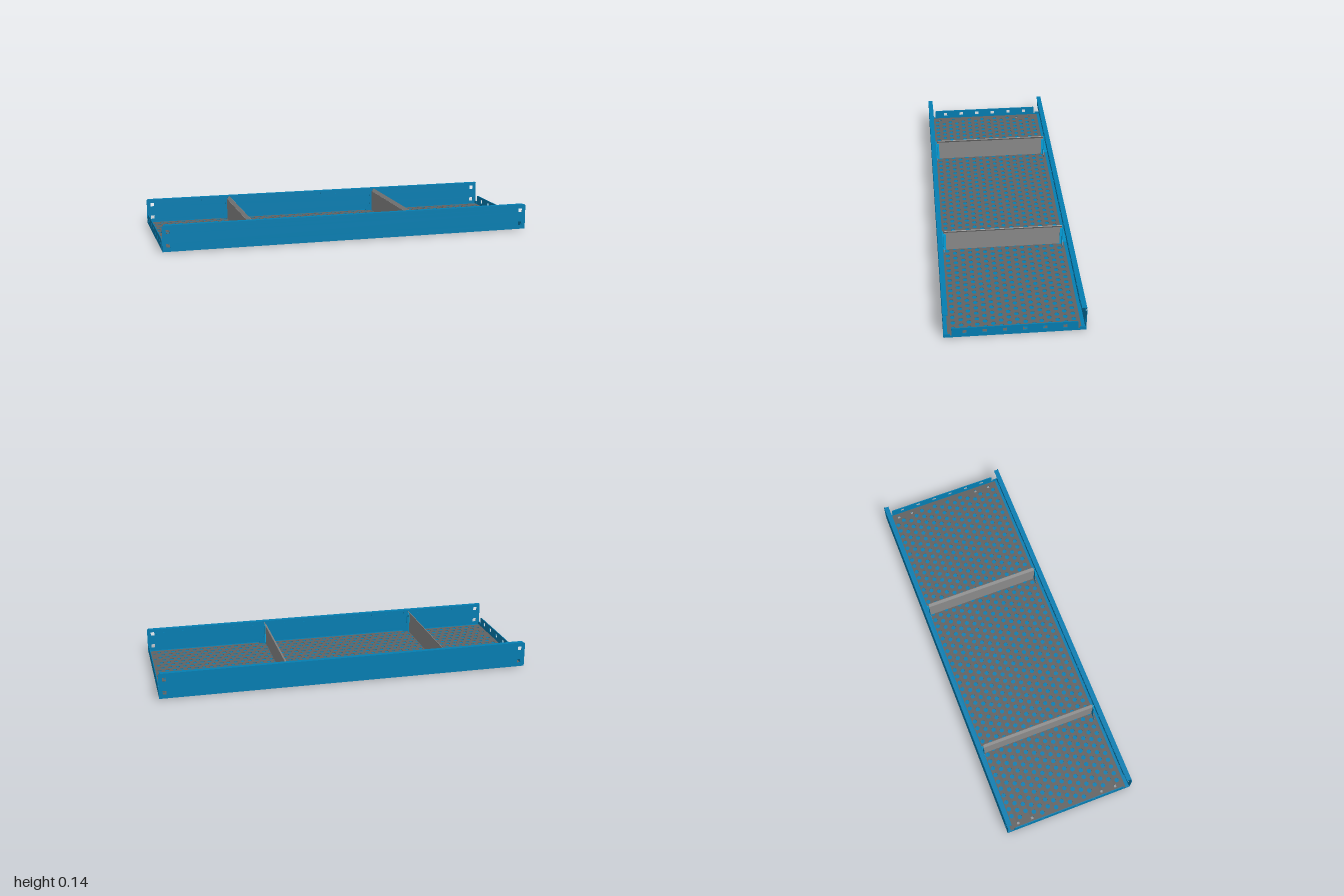
import * as THREE from 'three';

const paint = (color) => new THREE.MeshStandardMaterial({ color, side: THREE.DoubleSide });
const blue = paint(0x047eb2);
const brightBlue = paint(0x04a2dc);
const grey = paint(0x8a8a8a);
const darkGrey = paint(0x626262);
const BASE = 0.003; // underside of the floor

// Closed outline from [x, y] points
function outline(points, Type = THREE.Shape) {
  return new Type(points.map(([x, y]) => new THREE.Vector2(x, y)));
}

// Rectangular outline around a centre
function rect(cx, cy, w, h, Type = THREE.Path) {
  const a = w / 2, b = h / 2;
  return outline([[cx - a, cy - b], [cx + a, cy - b], [cx + a, cy + b], [cx - a, cy + b]], Type);
}

// Sheet cut from an outline, thickness along +z
function sheet(name, shape, holes, material, depth) {
  shape.holes.push(...holes);
  const geometry = new THREE.ExtrudeGeometry(shape, { depth, bevelEnabled: false, curveSegments: 8 });
  const mesh = new THREE.Mesh(geometry, material);
  mesh.name = name;
  return mesh;
}

function box(name, w, h, d, x, y, z, material) {
  const mesh = new THREE.Mesh(new THREE.BoxGeometry(w, h, d), material);
  mesh.position.set(x, y, z);
  mesh.name = name;
  return mesh;
}

// Centres of the mounting holes near the ends of floor and liner
const mounts = [];
for (const x of [-0.967, 0.967]) for (const y of [-0.28, -0.2, 0.2, 0.28]) mounts.push([x, y]);
const floorHoles = () => mounts.map(([x, y]) => rect(x, y, 0.014, 0.014));

// Long wall with folded top, slotted return lip and end holes
function longWall(name) {
  const group = new THREE.Group();
  group.name = name;
  const e = 0.997, c = 0.007;
  const shape = outline([[-e, BASE], [e, BASE], [e, 0.14 - c], [e - c, 0.14], [-e + c, 0.14], [-e, 0.14 - c]]);
  const holes = [];
  for (const x of [-0.967, 0.967]) for (const y of [0.035, 0.107]) holes.push(rect(x, y, 0.02, 0.02));
  const face = sheet('wallFace', shape, holes, blue, 0.002);
  face.position.z = 0.349;
  group.add(face);
  group.add(box('topFlange', 1.975, 0.002, 0.024, 0, 0.139, 0.338, blue));
  const slots = [];
  for (let i = 0; i < 19; i++) slots.push(rect(-0.9 + i * 0.1, 0.124, 0.022, 0.008));
  const lip = sheet('returnLip', rect(0, 0.125, 1.89, 0.028, THREE.Shape), slots, blue, 0.002);
  lip.position.z = 0.325;
  group.add(lip);
  return group;
}

// Low end plate with square holes, stepped corners and small pads beneath
function endPlate(name) {
  const half = [[0.349, BASE], [0.349, 0.024], [0.319, 0.024], [0.319, 0.012], [0.311, 0.012], [0.311, 0.055], [0.306, 0.06]];
  const shape = outline([...half, ...half.map(([z, y]) => [-z, y]).reverse()]);
  const holes = [];
  for (let i = 0; i < 6; i++) holes.push(rect((i - 2.5) * 0.0988, 0.035, 0.021, 0.021));
  const group = new THREE.Group();
  group.name = name;
  const plate = sheet('endFace', shape, holes, blue, 0.004);
  plate.rotation.y = Math.PI / 2;
  plate.position.x = 0.992;
  group.add(plate);
  for (let i = -3; i <= 3; i++) group.add(box('underPad', 0.012, 0.003, 0.005, 0.982, 0.0015, i * 0.094, blue));
  return group;
}

// Grey liner with staggered round perforations, clear of the mounting holes
function liner() {
  const holes = floorHoles();
  for (let r = 0; r < 16; r++) {
    const y = (r - 7.5) * 0.04;
    const count = 48 + r % 2;
    for (let i = 0; i < count; i++) {
      const x = (i - (count - 1) / 2) * 0.04;
      if (mounts.some(([mx, my]) => Math.hypot(mx - x, my - y) < 0.026)) continue;
      const ring = [];
      for (let k = 0; k < 8; k++) {
        const a = (k + 0.5) * Math.PI / 4;
        ring.push([x + Math.cos(a) * 0.0125, y + Math.sin(a) * 0.0125]);
      }
      holes.push(outline(ring, THREE.Path));
    }
  }
  const mesh = sheet('perforatedLiner', rect(0, 0, 1.98, 0.66, THREE.Shape), holes, darkGrey, 0.002);
  mesh.rotation.x = -Math.PI / 2;
  mesh.position.y = 0.0075;
  return mesh;
}

// Bracket joining one divider end to the wall
function bracket() {
  const group = new THREE.Group();
  group.name = 'dividerBracket';
  // Web in the plane of the divider
  const web = new THREE.Shape();
  web.moveTo(0.305, 0.01);
  web.lineTo(0.318, 0.01);
  web.lineTo(0.324, 0.023);
  web.lineTo(0.34, 0.023);
  web.quadraticCurveTo(0.348, 0.023, 0.348, 0.035);
  web.lineTo(0.348, 0.09);
  web.quadraticCurveTo(0.33, 0.095, 0.324, 0.106);
  web.lineTo(0.324, 0.132);
  web.lineTo(0.319, 0.132);
  web.lineTo(0.319, 0.115);
  web.lineTo(0.305, 0.115);
  const webMesh = sheet('bracketWeb', web, [], brightBlue, 0.004);
  webMesh.rotation.y = -Math.PI / 2; // profile runs along +z
  webMesh.position.x = 0.007;
  group.add(webMesh);
  // Flared foot across the divider end
  const foot = outline([[-0.04, 0.0095], [0.04, 0.0095], [0.04, 0.02], [0.016, 0.045],
    [0.012, 0.115], [-0.012, 0.115], [-0.016, 0.045], [-0.04, 0.02]]);
  const footMesh = sheet('bracketFoot', foot, [], blue, 0.002);
  footMesh.position.z = 0.316;
  group.add(footMesh);
  return group;
}

// Cross divider with a leaning, round-cornered top lip
function divider(x) {
  const group = new THREE.Group();
  group.name = 'divider';
  group.add(box('dividerPanel', 0.005, 0.1145, 0.63, 0, 0.06675, 0, grey));
  const w = 0.315, h = 0.02, r = 0.008;
  const shape = new THREE.Shape();
  shape.moveTo(-w, 0);
  shape.lineTo(w, 0);
  shape.lineTo(w, h - r);
  shape.quadraticCurveTo(w, h, w - r, h);
  shape.lineTo(-w + r, h);
  shape.quadraticCurveTo(-w, h, -w, h - r);
  const lip = sheet('dividerLip', shape, [], grey, 0.004);
  lip.rotation.set(0.6, Math.PI / 2, 0, 'YXZ');
  lip.position.set(-0.0015, 0.1235, 0);
  group.add(lip);
  for (const side of [1, -1]) {
    const b = bracket();
    b.scale.z = side;
    group.add(b);
  }
  group.position.x = x;
  return group;
}

export function createModel() {
  const model = new THREE.Group();
  model.name = 'shelfTray';

  // Solid floor
  const floor = sheet('floor', rect(0, 0, 1.984, 0.698, THREE.Shape), floorHoles(), blue, 0.004);
  floor.rotation.x = -Math.PI / 2;
  floor.position.y = BASE;
  model.add(floor, liner());

  // Walls and end plates in mirrored pairs
  const front = longWall('frontWall');
  const back = longWall('backWall');
  back.rotation.y = Math.PI;
  const left = endPlate('leftEnd');
  const right = endPlate('rightEnd');
  right.rotation.y = Math.PI;
  model.add(front, back, left, right);

  for (const x of [-0.543, 0.322]) model.add(divider(x));
  return model;
}
